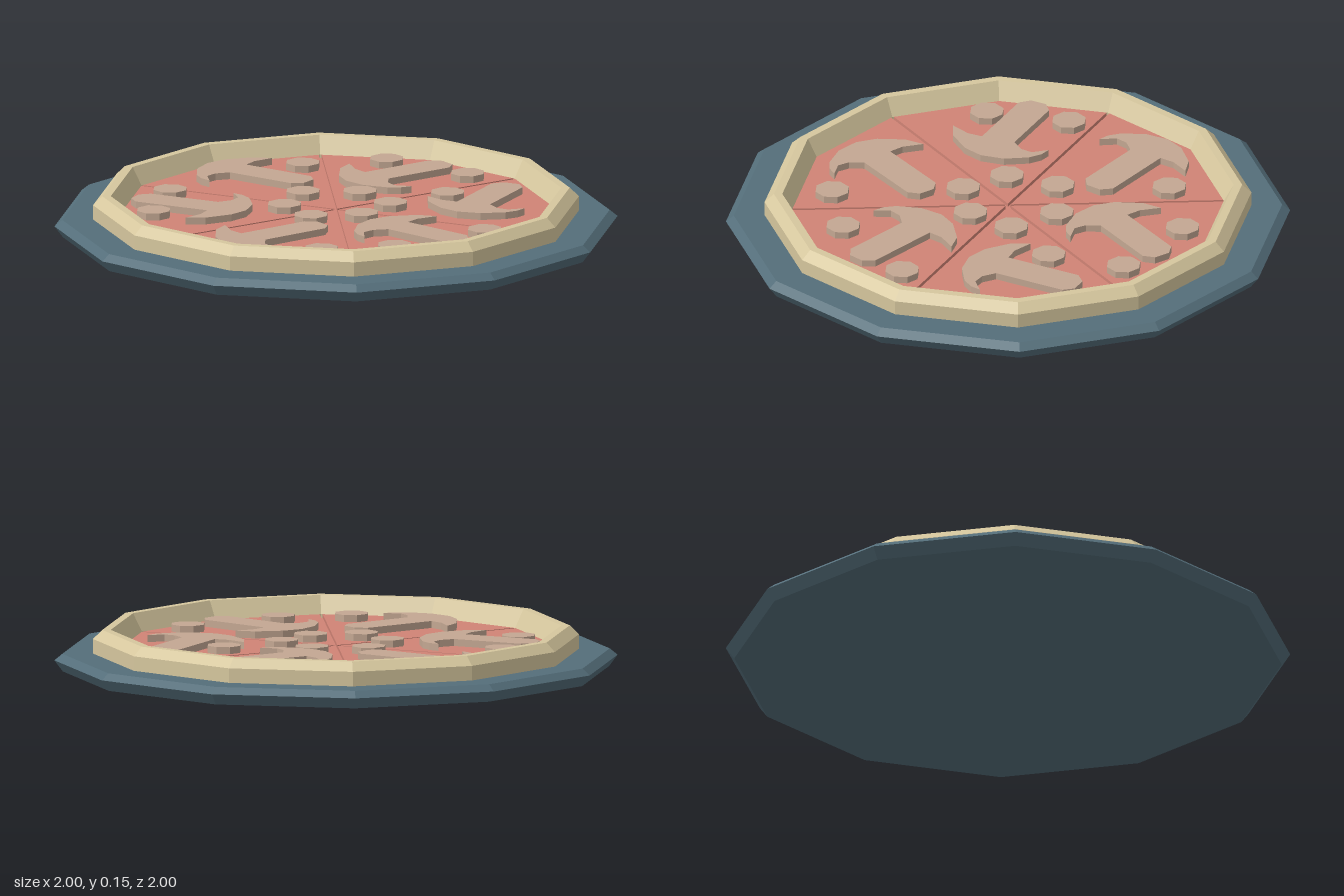
import * as THREE from 'three';

const mat = (name, color) => {
  const m = new THREE.MeshStandardMaterial({ color, flatShading: true });
  m.name = name;
  return m;
};

// Extrude a flat outline of [x, z] points upward by h
function slab(points, h) {
  const shape = new THREE.Shape(points.map(([x, z]) => new THREE.Vector2(x, -z)));
  return new THREE.ExtrudeGeometry(shape, { depth: h, bevelEnabled: false }).rotateX(-Math.PI / 2);
}

// Twelve-sided turned part from a [radius, y] profile
function turned(profile) {
  return new THREE.LatheGeometry(profile.map(([r, y]) => new THREE.Vector2(r, y)), 12);
}

export function createModel() {
  const model = new THREE.Group();
  const blue = mat('plate blue', 0x546e7a);
  const dough = mat('crust dough', 0xd6c79e);
  const sauce = mat('sauce red', 0xd08375);
  const taupe = mat('topping taupe', 0xc3a792);

  const add = (name, geometry, material, parent = model) => {
    const mesh = new THREE.Mesh(geometry, material);
    mesh.name = name;
    parent.add(mesh);
    return mesh;
  };

  // Plate with a chamfered rim
  add('plate', turned([[0, 0], [0.97, 0], [1, 0.04], [0.972, 0.063], [0, 0.063]]), blue);

  // Raised crust ring
  add('crust', turned([
    [0.863, 0.06], [0.863, 0.115], [0.83, 0.147], [0.8, 0.147], [0.765, 0.083], [0.765, 0.06],
  ]), dough);

  // Sauce floor seen in the cuts between slices
  add('sauceBase', turned([[0.775, 0.06], [0.775, 0.07], [0, 0.07]]), sauce);

  // Six slices, each pushed out a little to leave narrow cuts
  const SURFACE = 0.083, R = 0.767;
  const slices = new THREE.Group();
  slices.name = 'slices';
  model.add(slices);
  const wedge = slab([[0, 0], ...[-30, 0, 30].map((d) => {
    const a = THREE.MathUtils.degToRad(d);
    return [R * Math.cos(a), R * Math.sin(a)];
  })], SURFACE - 0.064);
  for (let i = 0; i < 6; i++) {
    const a = (i + 0.5) * Math.PI / 3;
    const slice = add('slice', wedge, sauce, slices);
    slice.position.set(0.011 * Math.cos(a), 0.064, 0.011 * Math.sin(a));
    slice.rotation.y = -a;
  }

  // Mushroom cuttings: outline has the cap's apex at the origin, stem along -x
  const mushroom = slab([
    [-0.405, -0.062], [-0.439, -0.032], [-0.439, 0.027], [-0.405, 0.06],
    [-0.125, 0.06], [-0.122, 0.115], [-0.148, 0.187], [-0.085, 0.155],
    [-0.022, 0.075], [0, 0], [-0.015, -0.085], [-0.065, -0.16], [-0.105, -0.188],
    [-0.145, -0.196], [-0.103, -0.15], [-0.107, -0.105], [-0.14, -0.062],
  ], 0.025);
  // Apex x, z and heading x, z
  [
    [-0.24, 0.235, 1, 0],
    [-0.65, -0.3, -0.985, -0.16],
    [-0.1, -0.29, -0.48, 0.88],
    [0.44, -0.075, 0, 1],
    [0.21, 0.155, -0.96, -0.27],
    [-0.12, 0.67, -0.46, 0.89],
  ].forEach(([x, z, dx, dz]) => {
    const m = add('mushroom', mushroom, taupe);
    m.position.set(x, SURFACE, z);
    m.rotation.y = -Math.atan2(dz, dx);
  });

  // Small round toppings
  const disc = new THREE.CylinderGeometry(0.062, 0.062, 0.025, 8);
  [
    [-0.11, -0.64], [0.235, -0.585], [-0.353, -0.46], [0.288, -0.313], [0, -0.195],
    [-0.18, -0.104], [0.166, -0.1], [-0.615, 0.078], [-0.16, 0.088], [0.138, 0.078],
    [-0.01, 0.184], [0.63, 0.094], [-0.54, 0.367], [0.438, 0.43], [0.225, 0.585],
  ].forEach(([x, z]) => {
    add('roundTopping', disc, taupe).position.set(x, SURFACE + 0.0125, z);
  });

  return model;
}
